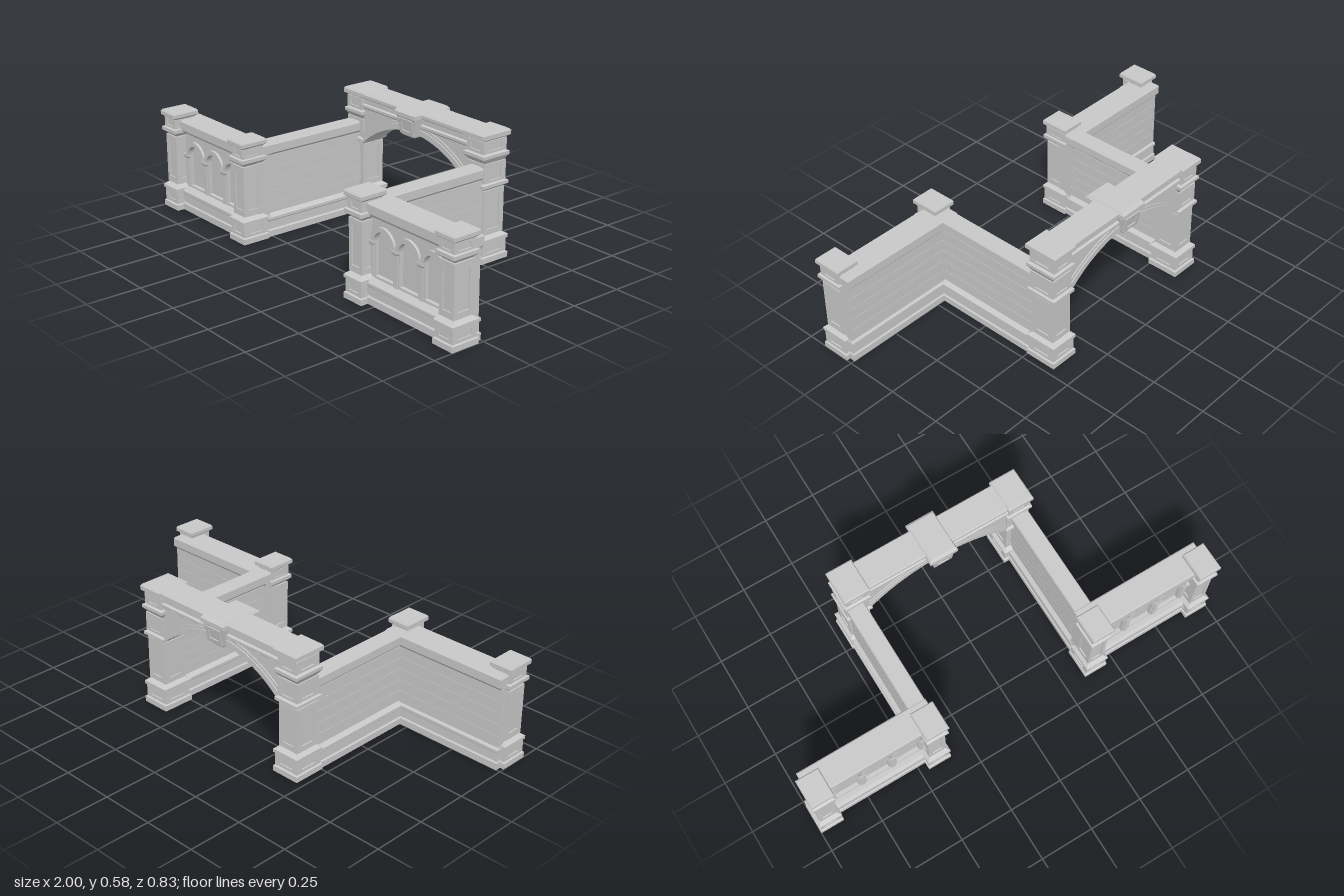
import * as THREE from 'three';

const stone = new THREE.MeshStandardMaterial({ color: 0xc8c8c8 });
stone.name = 'stone';

function add(parent, geometry, name, x = 0, y = 0, z = 0) {
  const m = new THREE.Mesh(geometry, stone);
  m.name = name;
  m.position.set(x, y, z);
  parent.add(m);
  return m;
}

// Stack of rectangular rings [y, halfX, halfZ], flat faced and capped
function loft(rings) {
  const p = [];
  const corner = ([y, a, b], k) => [[-a, y, b], [a, y, b], [a, y, -b], [-a, y, -b]][k % 4];
  const quad = (a, b, c, d) => p.push(...a, ...b, ...c, ...a, ...c, ...d);
  for (let i = 0; i + 1 < rings.length; i++) {
    for (let k = 0; k < 4; k++) {
      quad(corner(rings[i], k), corner(rings[i], k + 1), corner(rings[i + 1], k + 1), corner(rings[i + 1], k));
    }
  }
  const lo = rings[0], hi = rings[rings.length - 1];
  quad(corner(lo, 3), corner(lo, 2), corner(lo, 1), corner(lo, 0));
  quad(corner(hi, 0), corner(hi, 1), corner(hi, 2), corner(hi, 3));
  const g = new THREE.BufferGeometry();
  g.setAttribute('position', new THREE.Float32BufferAttribute(p, 3));
  g.computeVertexNormals();
  return g;
}

function box(parent, name, x0, x1, y0, y1, z0, z1) {
  return add(parent, new THREE.BoxGeometry(x1 - x0, y1 - y0, z1 - z0), name,
    (x0 + x1) / 2, (y0 + y1) / 2, (z0 + z1) / 2);
}

const extrude = (shape, depth) =>
  new THREE.ExtrudeGeometry(shape, { depth, bevelEnabled: false, curveSegments: 20 });

function rectPath(P, w, h) {
  const s = new P();
  s.moveTo(-w / 2, -h / 2);
  s.lineTo(w / 2, -h / 2);
  s.lineTo(w / 2, h / 2);
  s.lineTo(-w / 2, h / 2);
  s.closePath();
  return s;
}

function frameGeometry(w, h, b, bv) {
  const s = rectPath(THREE.Shape, w, h);
  s.holes.push(rectPath(THREE.Path, w - 2 * b, h - 2 * bv));
  return extrude(s, 0.006);
}

// Raised frames on all four sides of a pillar section
function framedSection(parent, y0, y1, hx, hz, bv) {
  for (let k = 0; k < 4; k++) {
    const side = k % 2 === 1;
    const w = 2 * (side ? hz : hx);
    const m = add(parent, frameGeometry(w, y1 - y0, w * 0.22, bv), 'panelFrame');
    const d = (side ? hx : hz) - 0.006;
    m.rotation.y = k * Math.PI / 2;
    m.position.set(Math.sin(m.rotation.y) * d, (y0 + y1) / 2, Math.cos(m.rotation.y) * d);
  }
}

function frontPillar(parent, x) {
  const g = new THREE.Group();
  g.name = 'frontPillar';
  g.position.set(x, 0, 0.343);
  add(g, loft([
    [0, 0.056, 0.068], [0.025, 0.056, 0.068], [0.032, 0.045, 0.056], [0.085, 0.045, 0.056],
    [0.09, 0.055, 0.068], [0.104, 0.055, 0.068], [0.122, 0.035, 0.045], [0.355, 0.035, 0.045],
    [0.372, 0.052, 0.065], [0.388, 0.052, 0.065], [0.393, 0.037, 0.048], [0.432, 0.037, 0.048],
    [0.446, 0.054, 0.067], [0.462, 0.054, 0.067], [0.47, 0.049, 0.061]
  ]), 'pillarCore');
  framedSection(g, 0.03, 0.088, 0.051, 0.062, 0.014);
  framedSection(g, 0.122, 0.352, 0.041, 0.051, 0.028);
  framedSection(g, 0.391, 0.435, 0.043, 0.054, 0.009);
  parent.add(g);
}

function gatePillar(parent) {
  const g = new THREE.Group();
  g.name = 'gatePillar';
  g.position.set(0.4, 0, -0.32);
  add(g, loft([
    [0, 0.068, 0.076], [0.025, 0.068, 0.076], [0.032, 0.056, 0.063], [0.085, 0.056, 0.063],
    [0.09, 0.067, 0.076], [0.106, 0.067, 0.076], [0.122, 0.046, 0.052], [0.325, 0.046, 0.052],
    [0.338, 0.062, 0.073], [0.352, 0.062, 0.073], [0.358, 0.049, 0.056], [0.445, 0.049, 0.056],
    [0.468, 0.062, 0.075], [0.482, 0.062, 0.075], [0.488, 0.046, 0.06], [0.542, 0.046, 0.06],
    [0.553, 0.062, 0.08], [0.572, 0.062, 0.08], [0.58, 0.056, 0.073]
  ]), 'pillarCore');
  framedSection(g, 0.03, 0.088, 0.062, 0.069, 0.014);
  framedSection(g, 0.122, 0.325, 0.052, 0.058, 0.025);
  framedSection(g, 0.358, 0.445, 0.055, 0.062, 0.012);
  framedSection(g, 0.488, 0.542, 0.052, 0.066, 0.012);
  parent.add(g);
}

// Front wing: wall, base, coping and a three-bay blind arcade
function wing(parent) {
  const g = new THREE.Group();
  g.name = 'wingWall';
  const cx = 0.672, hx = 0.306;
  box(g, 'wallCore', cx - hx, cx + hx, 0.05, 0.385, 0.258, 0.322);
  add(g, loft([[0, hx + 0.004, 0.064], [0.03, hx + 0.004, 0.064], [0.036, hx, 0.058], [0.075, hx, 0.058],
    [0.08, hx + 0.004, 0.063], [0.092, hx + 0.004, 0.063], [0.105, hx, 0.05]]), 'wallBase', cx, 0, 0.312);
  add(g, loft([[0.372, hx - 0.01, 0.052], [0.386, hx, 0.064], [0.424, hx, 0.064], [0.431, hx - 0.005, 0.058]]),
    'coping', cx, 0, 0.304);
  const plate = new THREE.Shape();
  plate.moveTo(0.44, 0.1);
  plate.lineTo(0.91, 0.1);
  plate.lineTo(0.91, 0.38);
  plate.lineTo(0.44, 0.38);
  plate.closePath();
  const bays = [0.52, 0.669, 0.818], r = 0.055, spring = 0.265;
  for (const x of bays) {
    const hole = new THREE.Path();
    hole.moveTo(x - r, 0.115);
    hole.lineTo(x + r, 0.115);
    hole.lineTo(x + r, spring);
    hole.absarc(x, spring, r, 0, Math.PI, false);
    hole.closePath();
    plate.holes.push(hole);
    const rib = new THREE.Shape();
    rib.absarc(x, spring, 0.073, 0, Math.PI, false);
    rib.absarc(x, spring, 0.053, Math.PI, 0, true);
    add(g, extrude(rib, 0.02), 'archRib', 0, 0, 0.332);
  }
  add(g, extrude(plate, 0.02), 'arcadePlate', 0, 0, 0.32);
  for (let i = 0; i < 4; i++) {
    const x = 0.4455 + i * 0.149;
    box(g, 'pilaster', x - 0.011, x + 0.011, 0.1, 0.25, 0.33, 0.345);
    add(g, loft([[0.248, 0.012, 0.008], [0.256, 0.019, 0.014], [0.268, 0.019, 0.014]]), 'impost', x, 0, 0.341);
  }
  courses(g, (y0, y1) => box(g, 'stoneCourse', cx - hx + 0.004, cx + hx - 0.004, y0, y1, 0.2565, 0.27));
  parent.add(g);
}

// Shallow stone courses on the plain wall faces
function courses(g, make) {
  for (let i = 0; i < 5; i++) make(0.104 + i * 0.054, 0.156 + i * 0.054);
}

function sideWall(parent) {
  const g = new THREE.Group();
  g.name = 'sideWall';
  box(g, 'wallCore', 0.378, 0.442, 0.05, 0.39, -0.27, 0.27);
  add(g, loft([[0, 0.052, 0.27], [0.028, 0.052, 0.27], [0.034, 0.046, 0.27], [0.072, 0.046, 0.27],
    [0.077, 0.051, 0.27], [0.09, 0.051, 0.27], [0.106, 0.033, 0.27]]), 'wallBase', 0.41, 0, 0);
  add(g, loft([[0.376, 0.032, 0.27], [0.386, 0.041, 0.27], [0.422, 0.041, 0.27], [0.428, 0.037, 0.27]]),
    'coping', 0.41, 0, 0);
  courses(g, (y0, y1) => box(g, 'stoneCourse', 0.3765, 0.4435, y0, y1, -0.268, 0.268));
  parent.add(g);
}

// Segmental arch between the gate pillars
function archway(parent) {
  const g = new THREE.Group();
  g.name = 'archway';
  const cy = -0.035, R = 0.51, half = 0.35, zc = -0.318;
  const arc = (radius, x) => Math.asin(x / radius);
  const spandrel = new THREE.Shape();
  const a = arc(R, half);
  spandrel.moveTo(half, 0.51);
  spandrel.lineTo(-half, 0.51);
  spandrel.absarc(0, cy, R, Math.PI / 2 + a, Math.PI / 2 - a, true);
  spandrel.closePath();
  add(g, extrude(spandrel, 0.104), 'spandrel', 0, 0, zc - 0.052);
  for (const [r0, r1, d] of [[R - 0.006, R + 0.02, 0.124], [R + 0.018, R + 0.032, 0.114]]) {
    const band = new THREE.Shape();
    const b = arc(r1, half), c = arc(r0, half);
    band.absarc(0, cy, r1, Math.PI / 2 - b, Math.PI / 2 + b, false);
    band.absarc(0, cy, r0, Math.PI / 2 + c, Math.PI / 2 - c, true);
    band.closePath();
    add(g, extrude(band, d), 'archBand', 0, 0, zc - d / 2);
  }
  add(g, loft([[0.494, 0.37, 0.05], [0.505, 0.37, 0.063], [0.516, 0.37, 0.063], [0.52, 0.37, 0.052],
    [0.542, 0.37, 0.052], [0.552, 0.37, 0.068], [0.566, 0.37, 0.068], [0.573, 0.37, 0.062]]),
    'entablature', 0, 0, zc);
  // Keystone with slanted, framed faces
  add(g, loft([[0.458, 0.038, 0.078], [0.464, 0.042, 0.083], [0.545, 0.056, 0.098], [0.55, 0.067, 0.104],
    [0.568, 0.067, 0.104], [0.58, 0.06, 0.092]]), 'keystone', 0, 0, -0.311);
  for (const s of [1, -1]) {
    const pivot = new THREE.Group();
    pivot.name = 'keystonePanel';
    pivot.position.set(0, 0.506, -0.311);
    pivot.rotation.y = s > 0 ? 0 : Math.PI;
    const f = add(pivot, frameGeometry(0.088, 0.072, 0.018, 0.016), 'keystoneFrame', 0, 0, 0.0895);
    f.rotation.x = 0.18;
    g.add(pivot);
  }
  parent.add(g);
}

export function createModel() {
  const model = new THREE.Group();
  model.name = 'gateway';
  for (const s of [1, -1]) {
    const half = new THREE.Group();
    half.name = s > 0 ? 'leftHalf' : 'rightHalf';
    half.scale.x = s;
    frontPillar(half, 0.944);
    frontPillar(half, 0.405);
    gatePillar(half);
    wing(half);
    sideWall(half);
    model.add(half);
  }
  archway(model);
  return model;
}
